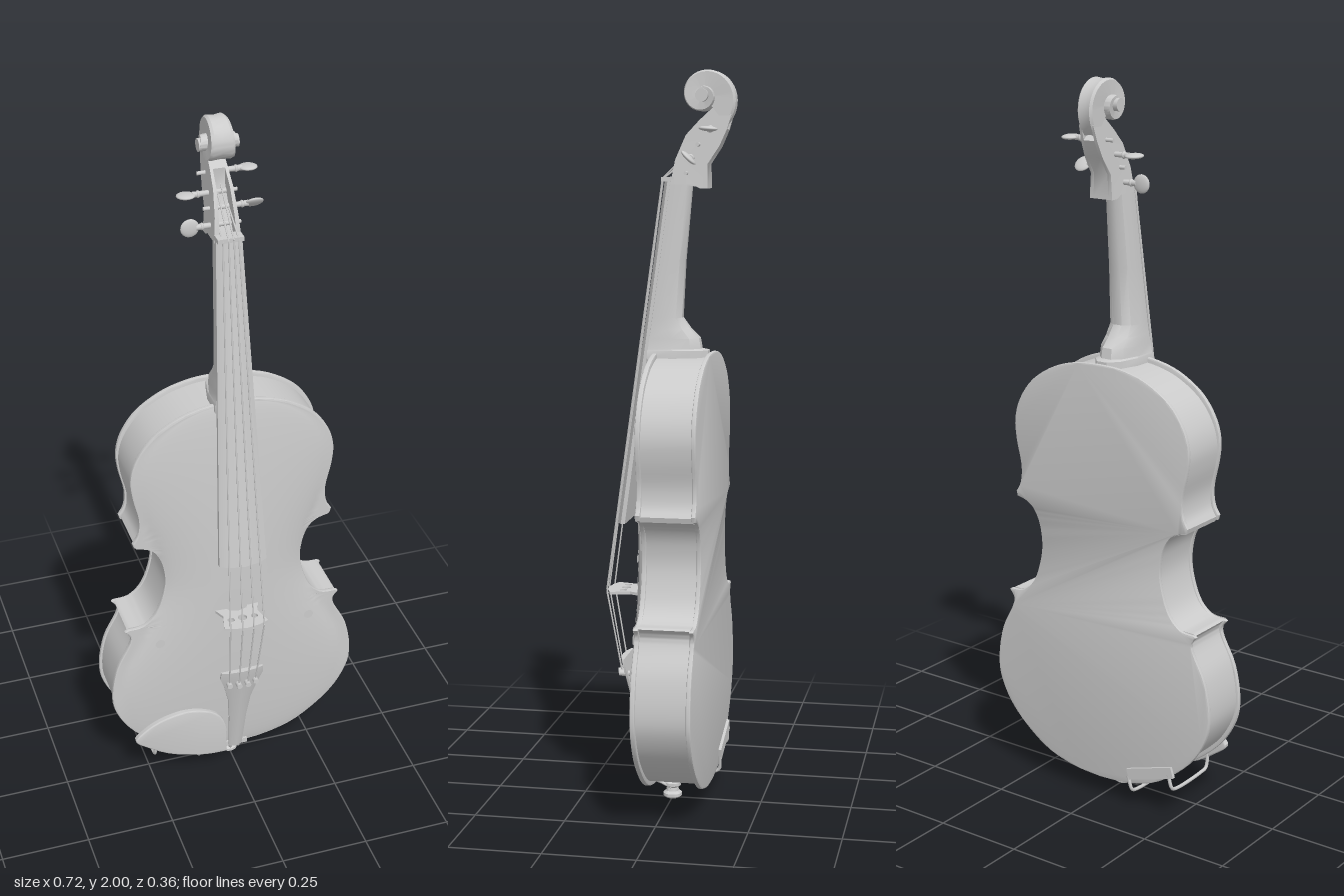
import * as THREE from 'three';
import { toCreasedNormals } from 'three/addons/utils/BufferGeometryUtils.js';

const solid = new THREE.MeshStandardMaterial({ color: 0xcccccc });
const thin = new THREE.MeshStandardMaterial({ color: 0xcccccc, side: THREE.DoubleSide });
const V = (x, y, z) => new THREE.Vector3(x, y, z);
const lerp = THREE.MathUtils.lerp;

function add(parent, name, geometry, material = solid) {
  const mesh = new THREE.Mesh(geometry, material);
  mesh.name = name;
  parent.add(mesh);
  return mesh;
}

// Surface through rows of points; closed rows are capped into a solid
function loft(rows, closed = true, crease = 0.6) {
  const n = rows[0].length, idx = [];
  for (let r = 0; r < rows.length - 1; r++)
    for (let i = 0; i < (closed ? n : n - 1); i++) {
      const a = r * n + i, b = r * n + (i + 1) % n;
      idx.push(a, b, b + n, a, b + n, a + n);
    }
  const end = (rows.length - 1) * n;
  if (closed) for (let i = 1; i < n - 1; i++) idx.push(0, i + 1, i, end, end + i, end + i + 1);
  const g = new THREE.BufferGeometry().setFromPoints(rows.flat());
  g.setIndex(idx);
  g.computeVertexNormals();
  return crease ? toCreasedNormals(g, crease) : g;
}

// Solid along y: section [x, depth] fitted to stations [y, halfWidth, backZ, frontZ]
const prism = (section, stations) => loft(stations.map(([y, w, back, front]) =>
  section.map(([x, d]) => V(x * w, y, lerp(back, front, d)))));

function extrude(points, depth, opts = {}) {
  const shape = points instanceof THREE.Shape ? points : new THREE.Shape(points);
  return toCreasedNormals(new THREE.ExtrudeGeometry(shape, { depth, bevelEnabled: false, curveSegments: 10, ...opts }), 0.6);
}

function rod(parent, name, a, b, r) {
  const mesh = add(parent, name, new THREE.CylinderGeometry(r, r, a.distanceTo(b), 6));
  mesh.position.copy(a).lerp(b, 0.5);
  mesh.quaternion.setFromUnitVectors(V(0, 1, 0), b.clone().sub(a).normalize());
}

const vec2 = list => list.map(([x, y]) => new THREE.Vector2(x, y));
const spline = list => new THREE.SplineCurve(vec2(list)).getPoints(36);

// Half outline of the body: lower bout, waist, upper bout
const half = [
  ...spline([[0, 0.057], [0.1, 0.066], [0.2, 0.1], [0.3, 0.18], [0.352, 0.265], [0.362, 0.34], [0.345, 0.43], [0.31, 0.5], [0.303, 0.53], [0.318, 0.552]]),
  ...spline([[0.312, 0.556], [0.265, 0.562], [0.225, 0.605], [0.2, 0.69], [0.205, 0.76], [0.225, 0.805], [0.25, 0.826], [0.284, 0.836]]),
  ...spline([[0.288, 0.85], [0.272, 0.88], [0.269, 0.93], [0.284, 1.0], [0.288, 1.06], [0.27, 1.12], [0.225, 1.18], [0.15, 1.227], [0.07, 1.249], [0, 1.253]]),
];
const MID = 0.655;
const outline = s => {
  const h = half.map(p => new THREE.Vector2(p.x * s, MID + (p.y - MID) * s));
  return [...h, ...h.slice(1, -1).reverse().map(p => new THREE.Vector2(-p.x, p.y))];
};

// Height of the arched top
function topZ(x, y) {
  const step = THREE.MathUtils.smoothstep;
  let w = y < 0.7 ? lerp(0.34, 0.2, step(y, 0.31, 0.7)) : lerp(0.2, 0.275, step(y, 0.7, 1.04));
  if (y < 0.31) w *= Math.sqrt(Math.max(0.01, 1 - ((0.31 - y) / 0.25) ** 2));
  if (y > 1.04) w *= Math.sqrt(Math.max(0.01, 1 - ((y - 1.04) / 0.21) ** 2));
  const across = Math.max(0, 1 - (x / w) ** 2), along = Math.max(0, 1 - ((y - MID) / 0.59) ** 2);
  return 0.0475 + 0.033 * across ** 0.8 * along ** 0.7;
}

function buildBody(g) {
  const bevel = { bevelEnabled: true, bevelSize: 0.004, bevelOffset: -0.004, bevelThickness: 0.004, bevelSegments: 2 };
  add(g, 'ribs', extrude(outline(0.978), 0.14)).position.z = -0.105;
  add(g, 'backPlate', extrude(outline(1), 0.005, bevel)).position.z = -0.11;
  add(g, 'topPlateEdge', extrude(outline(1), 0.006, bevel)).position.z = 0.037;
  const rows = half.map(p => Array.from({ length: 41 }, (_, i) => {
    const x = p.x * 0.984 * (i / 20 - 1), y = MID + (p.y - MID) * 0.99;
    return V(x, y, topZ(x, y));
  }));
  add(g, 'archedTop', loft(rows, false, 0), thin);

  // Sound holes: tapering ribbons with round ends
  const path = spline([[0.098, 0.697], [0.1, 0.715], [0.13, 0.72], [0.158, 0.69], [0.164, 0.64], [0.166, 0.57], [0.178, 0.51], [0.205, 0.476], [0.228, 0.483], [0.225, 0.503]]);
  for (const s of [-1, 1]) {
    const ribbon = path.map((p, i) => {
      const q = path[Math.max(0, i - 1)], r = path[Math.min(path.length - 1, i + 1)];
      const t = r.clone().sub(q).normalize(), w = 0.003 + 0.007 * Math.sin(Math.PI * i / (path.length - 1)) ** 2;
      return [-w, w].map(k => {
        const x = s * (p.x - t.y * k), y = p.y + t.x * k;
        return V(x, y, topZ(x, y) + 0.002);
      });
    });
    add(g, 'soundHole', loft(ribbon, false, 0), thin);
    for (const [x, y, r] of [[0.098, 0.697, 0.011], [0.222, 0.503, 0.014]])
      add(g, 'soundHoleEnd', new THREE.CircleGeometry(r, 20), thin).position.set(s * x, y, topZ(x, y) + 0.004);
  }
}

const ROUND_BACK = [[1, 1], [1, 0.55], [0.75, 0.18], [0.3, 0], [-0.3, 0], [-0.75, 0.18], [-1, 0.55], [-1, 1]];
const ROUND_FRONT = [[1, 0.35], [1, 0], [-1, 0], [-1, 0.35], [-0.65, 0.75], [0, 1], [0.65, 0.75]];

function buildNeck(g) {
  add(g, 'neck', prism(ROUND_BACK, [
    [1.235, 0.055, -0.1, 0.06], [1.258, 0.054, -0.1, 0.06], [1.262, 0.052, -0.08, 0.058], [1.29, 0.05, -0.075, 0.055],
    [1.315, 0.047, -0.05, 0.051], [1.345, 0.045, -0.028, 0.048], [1.5, 0.04, -0.036, 0.028], [1.71, 0.034, -0.055, 0.001]]));
  add(g, 'fingerboard', prism(ROUND_FRONT, [[0.785, 0.068, 0.12, 0.152], [1.71, 0.035, 0, 0.022]]));
  add(g, 'nut', new THREE.BoxGeometry(0.07, 0.012, 0.034)).position.set(0, 1.714, 0.008);

  // Peg box: two cheeks and a floor, narrowing upwards
  const cheek = vec2([[0, 1.7], [-0.012, 1.765], [-0.04, 1.83], [-0.075, 1.868], [-0.11, 1.9], [-0.162, 1.885], [-0.15, 1.845], [-0.13, 1.8], [-0.1, 1.755], [-0.1, 1.69], [-0.08, 1.69], [-0.06, 1.7]]);
  const floor = vec2([[-0.1, 1.69], [-0.1, 1.755], [-0.13, 1.8], [-0.15, 1.845], [-0.1, 1.89], [-0.075, 1.868], [-0.08, 1.82], [-0.055, 1.76], [-0.03, 1.7]]);
  const slab = (name, shape, x0, x1) => {
    const geo = extrude(shape, x1 - x0).rotateY(-Math.PI / 2).translate(x1, 0, 0);
    const p = geo.attributes.position;
    for (let i = 0; i < p.count; i++) p.setX(i, p.getX(i) * (1 - 2 * Math.max(0, p.getY(i) - 1.7)));
    add(g, name, toCreasedNormals(geo, 0.6));
  };
  slab('pegBoxCheek', cheek, 0.024, 0.036);
  slab('pegBoxCheek', cheek, -0.036, -0.024);
  slab('pegBoxFloor', floor, -0.026, 0.026);

  // Scroll: a shrinking spiral that widens towards its eye
  const rings = [];
  for (let a = -0.9; a <= 10.1; a += 0.13) {
    const r = 0.085 * Math.exp(-0.16 * a), w = 0.023 + 0.0028 * Math.max(a, 0);
    rings.push([[w, 0.34], [w, 0.93], [0.75 * w, 1], [0, 0.96], [-0.75 * w, 1], [-w, 0.93], [-w, 0.34]]
      .map(([x, k]) => V(x, 1.933 + r * k * Math.sin(a), -0.086 - r * k * Math.cos(a))));
  }
  add(g, 'scroll', loft(rings));
  add(g, 'scrollEye', new THREE.CylinderGeometry(0.017, 0.017, 0.106, 20).rotateZ(Math.PI / 2)).position.set(0, 1.933, -0.086);

  // Tuning pegs: height, depth, side, roll of the flat head
  for (const [y, z, s, roll] of [[1.73, -0.043, -1, 0], [1.77, -0.058, 1, 0.8], [1.805, -0.075, -1, 1.5], [1.845, -0.11, 1, 1.5]]) {
    const peg = new THREE.Group();
    peg.name = 'tuningPeg';
    add(peg, 'pegShaft', new THREE.CylinderGeometry(0.005, 0.008, 0.12, 12).rotateZ(Math.PI / 2)).position.x = 0.012;
    add(peg, 'pegCollar', new THREE.SphereGeometry(0.01, 12, 8).scale(0.6, 1, 1)).position.x = 0.056;
    add(peg, 'pegHead', new THREE.SphereGeometry(0.025, 20, 12).scale(1, 1, 0.28)).position.x = 0.088;
    peg.position.set(0, y, z);
    peg.rotation.set(roll, 0, 0);
    if (s < 0) peg.rotation.set(roll, Math.PI, 0);
    g.add(peg);
  }
}

function buildFittings(g) {
  // Bridge: thin upright plate with an arched foot and openings
  const bridge = new THREE.Shape(vec2([[-0.068, 0.068], [-0.035, 0.068], [-0.025, 0.09], [0, 0.097], [0.025, 0.09], [0.035, 0.068], [0.068, 0.068], [0.05, 0.11], [0.064, 0.163], [0.035, 0.174], [0, 0.179], [-0.035, 0.174], [-0.064, 0.163], [-0.05, 0.11]]));
  for (const [x, y, r] of [[0, 0.13, 0.013], [-0.034, 0.132, 0.01], [0.034, 0.132, 0.01]])
    bridge.holes.push(new THREE.Path().absarc(x, y, r, 0, Math.PI * 2, true));
  add(g, 'bridge', extrude(bridge, 0.008).rotateX(Math.PI / 2)).position.y = 0.594;

  add(g, 'tailpiece', prism(ROUND_FRONT, [[0.07, 0.02, 0.062, 0.076], [0.2, 0.026, 0.085, 0.1], [0.28, 0.034, 0.1, 0.116], [0.34, 0.05, 0.112, 0.128], [0.38, 0.064, 0.12, 0.137], [0.405, 0.062, 0.125, 0.141]]));

  // Strings from tailpiece over bridge and nut into the peg box
  [-1.5, -0.5, 0.5, 1.5].forEach((k, i) => {
    const drop = Math.abs(k) > 1 ? 0.008 : 0;
    const pts = [V(k * 0.026, 0.37, 0.143 - drop), V(k * 0.033, 0.59, 0.182 - drop), V(k * 0.014, 1.715, 0.027 - drop / 2), V(k * 0.012, [1.73, 1.805, 1.845, 1.77][i], [-0.036, -0.068, -0.103, -0.051][i])];
    for (let j = 0; j < 3; j++) rod(g, 'string', pts[j], pts[j + 1], 0.0022);
    const tuner = add(g, 'fineTuner', new THREE.CylinderGeometry(0.008, 0.008, 0.03, 12).rotateX(Math.PI / 2));
    tuner.position.set(k * 0.026, 0.36, 0.135 - drop);
  });

  // End button, saddle and tail loop
  add(g, 'endButton', toCreasedNormals(new THREE.LatheGeometry(vec2([[0, 0], [0.018, 0], [0.026, 0.006], [0.026, 0.014], [0.018, 0.02], [0.016, 0.03], [0.024, 0.036], [0.024, 0.044], [0.018, 0.05], [0.018, 0.075]]), 24), 0.6));
  add(g, 'saddle', new THREE.BoxGeometry(0.08, 0.016, 0.02)).position.set(0, 0.066, 0.047);
  for (const s of [-1, 1])
    add(g, 'tailLoop', new THREE.TubeGeometry(new THREE.CatmullRomCurve3([V(s * 0.012, 0.09, 0.066), V(s * 0.012, 0.055, 0.058), V(s * 0.014, 0.045, 0.03), V(s * 0.018, 0.032, 0)]), 16, 0.004, 8));

  // Chin rest with wire clamp
  const rest = spline([[-0.03, 0.068], [-0.03, 0.15], [-0.055, 0.205], [-0.11, 0.235], [-0.17, 0.24], [-0.24, 0.222], [-0.29, 0.19], [-0.305, 0.165], [-0.27, 0.135], [-0.2, 0.092], [-0.1, 0.062], [-0.032, 0.058]]);
  add(g, 'chinRest', extrude(rest, 0.01, { bevelEnabled: true, bevelSize: 0.004, bevelOffset: -0.004, bevelThickness: 0.004, bevelSegments: 3 })).position.z = 0.064;
  for (const [x, y] of [[-0.245, 0.085], [-0.11, 0.043]])
    add(g, 'chinRestClamp', new THREE.TubeGeometry(new THREE.CatmullRomCurve3([V(x, y + 0.06, 0.066), V(x, y + 0.005, 0.055), V(x, y, 0.03), V(x, y, -0.09), V(x, y + 0.008, -0.113), V(x + 0.01, y + 0.05, -0.118)]), 30, 0.005, 8));
  const foot = add(g, 'clampFoot', new THREE.BoxGeometry(0.155, 0.032, 0.01));
  foot.position.set(-0.175, 0.12, -0.117);
  foot.rotation.z = -0.3;
}

export function createModel() {
  const model = new THREE.Group();
  model.name = 'violin';
  for (const [name, build] of [['body', buildBody], ['neckAndHead', buildNeck], ['fittings', buildFittings]]) {
    const group = new THREE.Group();
    group.name = name;
    build(group);
    model.add(group);
  }
  return model;
}
